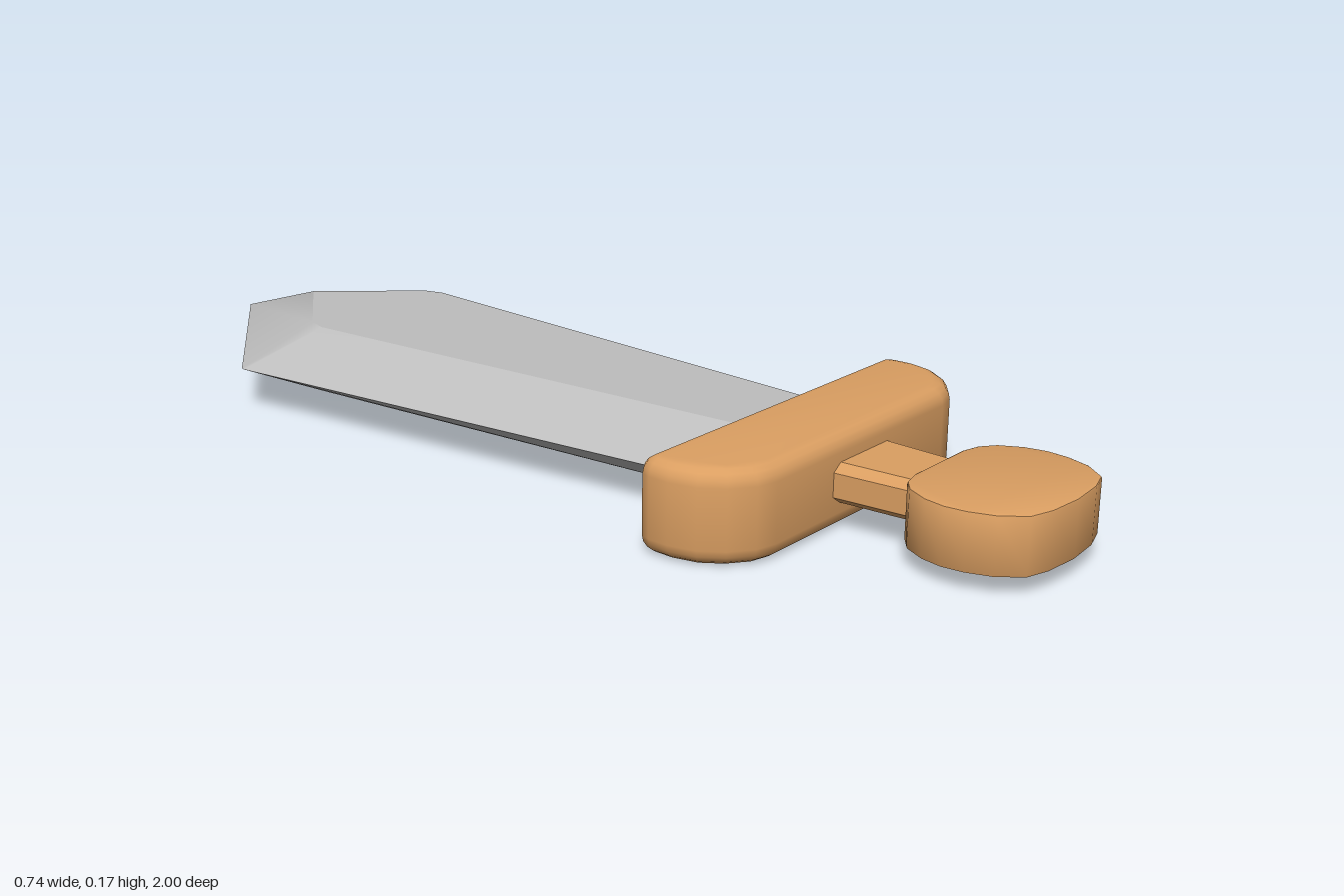
import * as THREE from 'three';
import { toCreasedNormals } from 'three/addons/utils/BufferGeometryUtils.js';

const MID = 0.085; // height of the centre plane

// Full outline from its +x half, running +x base -> far end -> -x base
function mirrored(half, centre = []) {
  return [...half, ...centre, ...half.map(([x, z]) => [-x, z]).reverse()];
}

// Upright slab from a plan outline in x/z, with rounded edges
function slab(outline, bottom, top, bevel, segments) {
  const shape = new THREE.Shape(outline.map(([x, z]) => new THREE.Vector2(x, z)));
  const geo = new THREE.ExtrudeGeometry(shape, {
    depth: top - bottom - 2 * bevel, bevelThickness: bevel, bevelSize: bevel,
    bevelOffset: -bevel, bevelSegments: segments,
  });
  geo.rotateX(Math.PI / 2).translate(0, top - bevel, 0);
  return toCreasedNormals(geo, 0.75);
}

function surface(points, index) {
  const geo = new THREE.BufferGeometry();
  geo.setAttribute('position', new THREE.Float32BufferAttribute(points.flat(), 3));
  geo.setIndex(index);
  geo.computeVertexNormals();
  return geo;
}

export function createModel() {
  const root = new THREE.Group();
  root.name = 'sword';
  const wood = new THREE.MeshStandardMaterial({ color: 0xdb9f62 });
  wood.name = 'wood';
  const steel = new THREE.MeshStandardMaterial({ color: 0xbebebe });
  steel.name = 'steel';

  function add(name, geo, material, parent = root) {
    const mesh = new THREE.Mesh(geo, material);
    mesh.name = name;
    parent.add(mesh);
  }

  // Blade: a sharp rim sloping to a flat raised face, above and below
  const blade = new THREE.Group();
  blade.name = 'blade';
  root.add(blade);
  const rim = mirrored([[0.204, 0.45], [0.317, -0.642], [0.314, -0.652]], [[0, -1]]);
  const flat = mirrored([[0.096, 0.45], [0.17, -0.575], [0.158, -0.615]], [[0, -0.79]]);
  for (const side of [1, -1]) {
    const label = side > 0 ? 'upper' : 'lower';
    const n = rim.length;
    const outer = rim.map(([x, z]) => [x, MID, z]);
    const inner = flat.map(([x, z]) => [x, MID + side * 0.067, z]);
    const slope = [], fan = [];
    const tri = (list, a, b, c) => list.push(...(side > 0 ? [a, b, c] : [a, c, b]));
    for (let i = 0; i < n - 1; i++) {
      tri(slope, i, i + 1, n + i + 1);
      tri(slope, i, n + i + 1, n + i);
      if (i > 0) tri(fan, 0, i, i + 1);
    }
    add(label + 'BladeEdge', surface([...outer, ...inner], slope), steel, blade);
    add(label + 'BladeFace', surface(inner, fan), steel, blade);
  }

  // Guard: straight towards the blade, rounded towards the hand
  const guard = mirrored([
    [0.25, 0.6], [0.29, 0.59], [0.33, 0.56], [0.358, 0.52], [0.37, 0.47],
    [0.369, 0.43], [0.362, 0.411], [0.345, 0.4],
  ]);
  add('guard', slab(guard, 0, 0.168, 0.03, 4), wood);

  // Grip: chamfered bar, narrowing towards the pommel
  const section = mirrored([[0.092, -0.022], [0.092, 0.022], [0.072, 0.036]])
    .filter(([x, y]) => y > 0);
  const full = [...section, ...section.map(([x, y]) => [-x, -y])];
  const grip = new THREE.ExtrudeGeometry(
    new THREE.Shape(full.map(([x, y]) => new THREE.Vector2(x, y))),
    { depth: 0.22, bevelEnabled: false });
  const pos = grip.attributes.position;
  for (let i = 0; i < pos.count; i++) pos.setX(i, pos.getX(i) * (1 - 0.8 * pos.getZ(i)));
  grip.translate(0, MID, 0.57);
  grip.computeVertexNormals();
  add('grip', grip, wood);

  // Pommel: thick disc with a flattened front and back
  const pommel = mirrored([
    [0.07, 0.994], [0.115, 0.98], [0.147, 0.94], [0.162, 0.895], [0.166, 0.855],
    [0.158, 0.815], [0.137, 0.775], [0.11, 0.754], [0.075, 0.745],
  ]);
  pommel.push([0, 1]);
  add('pommel', slab(pommel, 0.033, 0.137, 0.004, 2), wood);

  return root;
}
